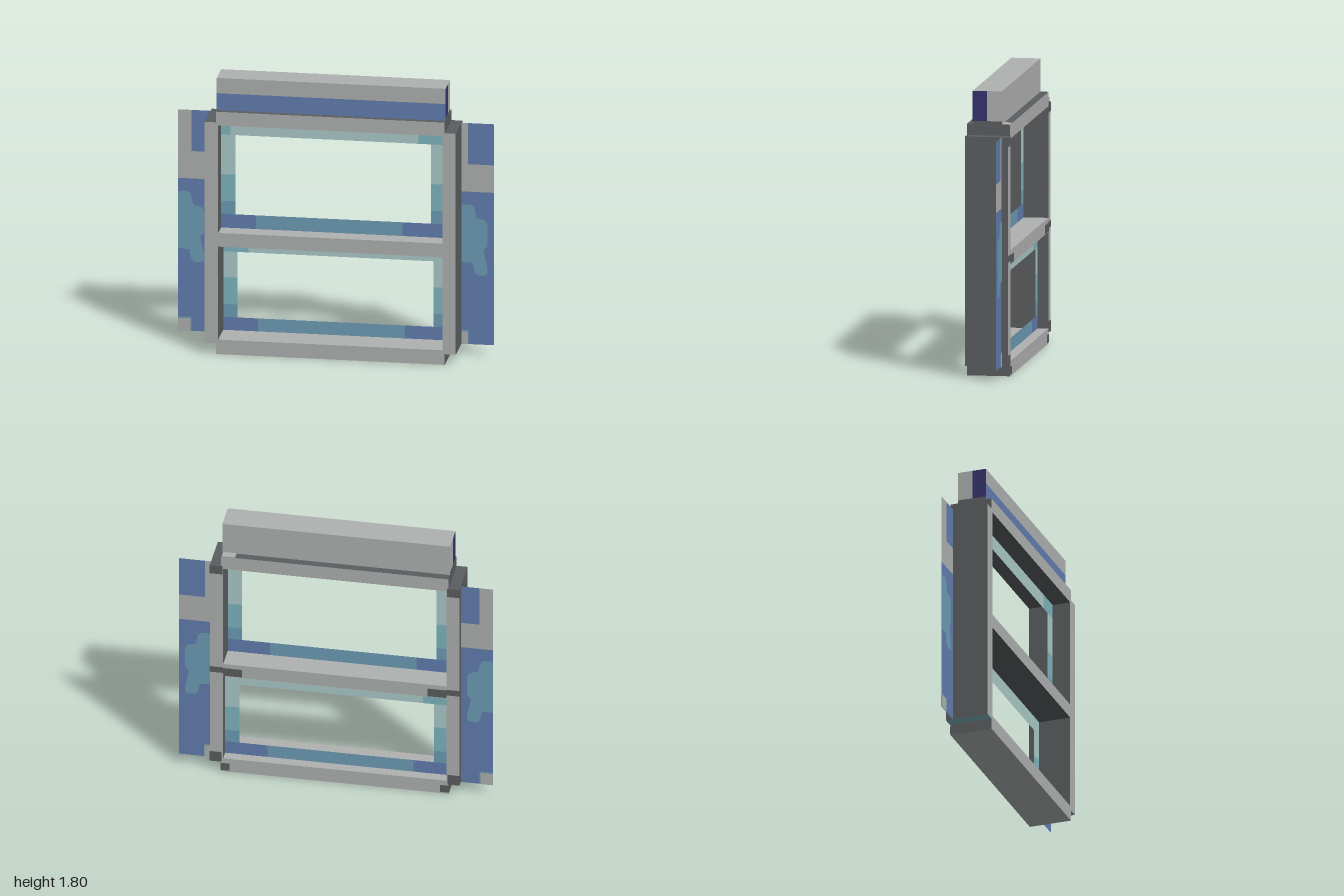
import * as THREE from 'three';

function mat(name, color, side = THREE.FrontSide) {
  const m = new THREE.MeshStandardMaterial({ color, side });
  m.name = name;
  return m;
}

export function createModel() {
  const D = THREE.DoubleSide;
  const light = mat('light grey', 0xb0b2b1, D);
  const dark = mat('dark grey', 0x5b5e60);
  const blue = mat('blue', 0x637eb0, D);
  const navy = mat('navy', 0x36336f);
  const pale = mat('pale teal', 0xabcbc9, D);
  const teal = mat('teal', 0x7fb6c0, D);
  const steel = mat('steel teal', 0x6d9db6, D);

  const model = new THREE.Group();
  model.name = 'window';
  const group = (name) => {
    const g = new THREE.Group();
    g.name = name;
    model.add(g);
    return g;
  };
  const add = (parent, name, geo, material) => {
    const m = new THREE.Mesh(geo, material);
    m.name = name;
    parent.add(m);
    return m;
  };
  // Box from its limits; materials ordered +x, -x, +y, -y, +z, -z
  const box = (parent, name, x0, x1, y0, y1, z0, z1, material) =>
    add(parent, name, new THREE.BoxGeometry(x1 - x0, y1 - y0, z1 - z0), material)
      .position.set((x0 + x1) / 2, (y0 + y1) / 2, (z0 + z1) / 2);
  // Flat upright rectangle at depth z
  const rect = (parent, name, x0, x1, y0, y1, z, material) =>
    add(parent, name, new THREE.PlaneGeometry(x1 - x0, y1 - y0), material)
      .position.set((x0 + x1) / 2, (y0 + y1) / 2, z);
  const points = (list) => list.map(([x, y]) => new THREE.Vector2(x, y));

  // Frame: stepped outline with two openings
  const half = [[0.725, 0], [0.725, 0.07], [0.795, 0.07], [0.795, 1.52], [0.725, 1.52], [0.725, 1.59]];
  const outline = new THREE.Shape(points([...half, ...half.map(([x, y]) => [-x, y]).reverse()]));
  for (const [y0, y1] of [[0.095, 0.705], [0.795, 1.5]]) {
    outline.holes.push(new THREE.Path(points([[-0.71, y0], [-0.71, y1], [0.71, y1], [0.71, y0]])));
  }
  const frameGeo = new THREE.ExtrudeGeometry(outline, { depth: 0.274, bevelEnabled: false });
  frameGeo.translate(0, 0, -0.137);
  // Colour each face by the way it points: light sills, dark reveals and sides
  frameGeo.clearGroups();
  const pos = frameGeo.attributes.position, nor = frameGeo.attributes.normal;
  for (let i = 0; i < pos.count; i += 3) {
    const y = pos.getY(i), ny = nor.getY(i);
    let k = 1;
    if (Math.abs(nor.getZ(i)) > 0.5) k = 0;
    else if (ny > 0.5 && y < 1.4) k = 0;
    else if (ny < -0.5 && y < 0.05) k = 0;
    else if (ny < -0.5 && y < 0.08) k = 2;
    frameGeo.addGroup(i, 3, k);
  }
  add(model, 'frame', frameGeo, [light, dark, teal]);

  // Header beam with a blue front stripe and navy front ends
  const header = group('header');
  const ends = (e, front) => [e, e, light, light, front, light];
  box(header, 'headerFoot', -0.725, 0.725, 1.59, 1.61, -0.085, 0.1, ends(dark, blue));
  box(header, 'headerBack', -0.725, 0.725, 1.61, 1.8, -0.085, 0.01, light);
  box(header, 'headerStripe', -0.725, 0.725, 1.61, 1.7, 0.01, 0.1, ends(navy, blue));
  box(header, 'headerFront', -0.725, 0.725, 1.7, 1.8, 0.01, 0.1, ends(navy, light));
  box(header, 'topPatch', 0.635, 0.72, 1.588, 1.593, -0.136, -0.086, light);

  // Sashes: flat borders, pale at the top and blue at the bottom
  function sash(name, z, y0, yIn0, ySteel, yTeal, yIn1, y1, paleL, paleR) {
    const g = group(name);
    if (paleL > -0.71) rect(g, 'topCornerRight', -0.71, paleL, yIn1, y1, z, teal);
    if (paleR < 0.71) rect(g, 'topCornerLeft', paleR, 0.71, yIn1, y1, z, teal);
    rect(g, 'topRail', paleL, paleR, yIn1, y1, z, pale);
    for (const [a, b] of [[-0.71, -0.62], [0.62, 0.71]]) {
      rect(g, 'stileTop', a, b, yTeal, yIn1, z, pale);
      rect(g, 'stileMiddle', a, b, ySteel, yTeal, z, teal);
      rect(g, 'stileBottom', a, b, yIn0, ySteel, z, steel);
    }
    rect(g, 'bottomCornerRight', -0.71, -0.49, y0, yIn0, z, blue);
    rect(g, 'bottomRail', -0.49, 0.44, y0, yIn0, z, steel);
    rect(g, 'bottomCornerLeft', 0.44, 0.71, y0, yIn0, z, blue);
  }
  sash('upperSash', 0.02, 0.795, 0.885, 0.97, 1.145, 1.405, 1.5, -0.65, 0.54);
  sash('lowerSash', -0.07, 0.095, 0.18, 0.265, 0.44, 0.61, 0.705, -0.55, 0.71);

  // Side panels: thin sheets with painted patches on both faces
  const Z = -0.095;
  const blob = [[0, 0.61], [0.07, 0.605], [0.085, 0.54], [0.1, 0.525], [0.15, 0.525], [0.165, 0.54],
    [0.165, 0.57], [0.14, 0.69], [0.165, 0.72], [0.165, 0.86], [0.15, 0.885], [0.095, 0.9],
    [0.08, 0.97], [0.06, 0.985], [0, 0.985]];
  function panel(name, x0, x1, split, corner) {
    const g = group(name);
    rect(g, 'panelBottom', x0, x1, 0.07, 1.07, Z, blue);
    rect(g, 'panelBand', x0, x1, 1.07, 1.25, Z, light);
    rect(g, 'panelTopGrey', x0, split, 1.25, 1.52, Z, light);
    rect(g, 'panelTopBlue', split, x1, 1.25, 1.52, Z, blue);
    const shape = new THREE.ShapeGeometry(new THREE.Shape(points(blob)));
    for (const s of [-1, 1]) {
      add(g, 'panelPatch', shape, steel).position.set(x0, 0, Z + s * 0.002);
      rect(g, 'cornerEdge', x0, corner + 0.006, 0.07, 0.163, Z + s * 0.002, steel);
      rect(g, 'cornerPatch', x0, corner, 0.07, 0.153, Z + s * 0.003, light);
    }
  }
  panel('rightPanel', -1, -0.795, -0.915, -0.92);
  panel('leftPanel', 0.795, 1, 0.835, 0.835);

  // Dark joint plates on the back of the frame
  const joints = group('backJoints');
  for (const s of [-1, 1]) {
    const plate = (a, b, y0, y1) =>
      box(joints, 'jointPlate', Math.min(s * a, s * b), Math.max(s * a, s * b), y0, y1, -0.14, -0.136, dark);
    plate(0.715, 0.795, 1.46, 1.52);
    plate(0.71, 0.795, 0.73, 0.77);
    plate(0.59, 0.71, 0.71, 0.765);
    plate(0.72, 0.795, 0.07, 0.14);
    plate(0.67, 0.725, 0.01, 0.06);
  }
  return model;
}
